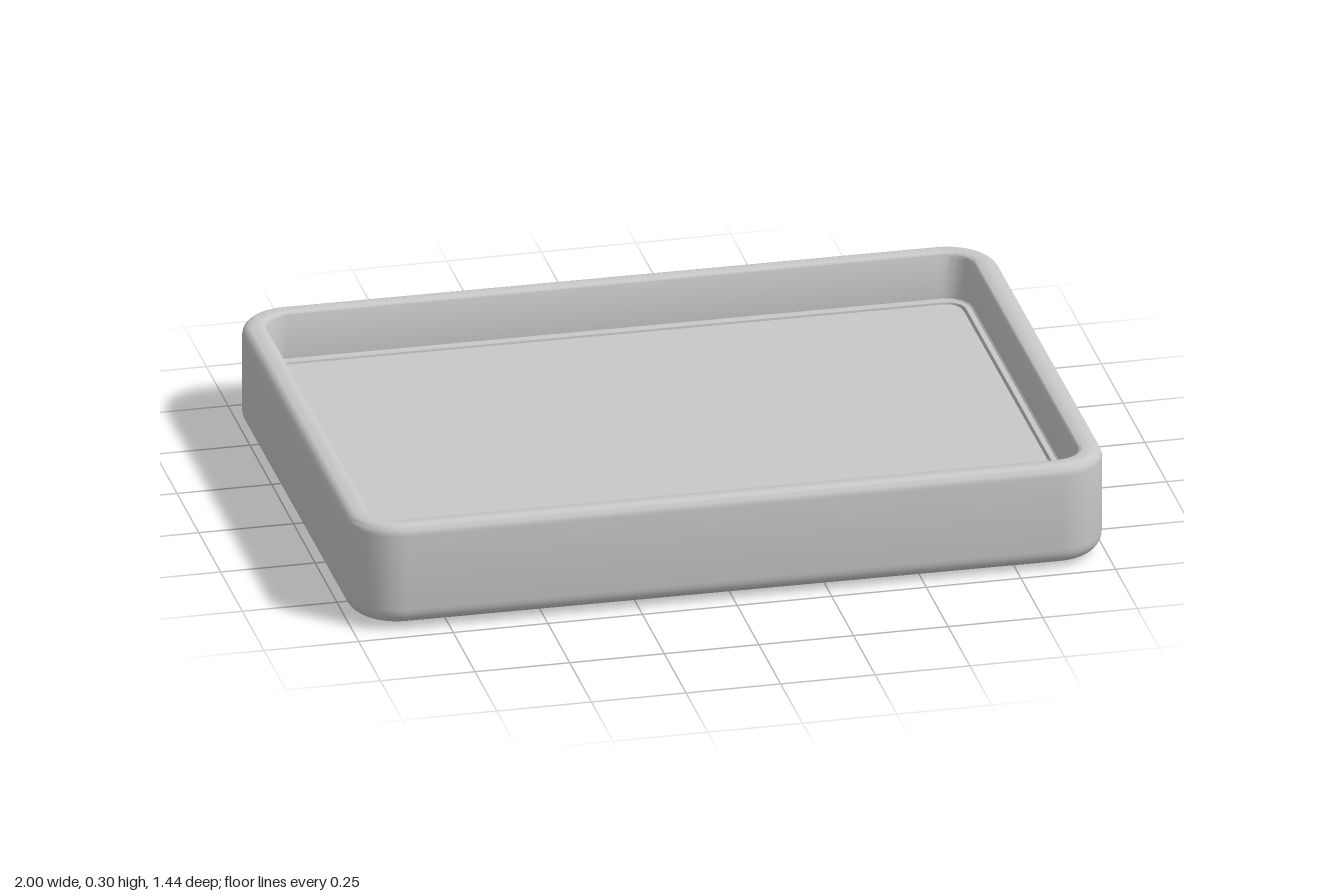
import * as THREE from 'three';
import { toCreasedNormals } from 'three/addons/utils/BufferGeometryUtils.js';

const HALF_X = 0.998, HALF_Z = 0.721, CORNER = 0.135, STEPS = 12;
const Z_INSET = 0.88; // front and back walls are slightly thinner than the sides

// Rounded rectangle, inset from the outer footprint, at height y
function ring(inset, y) {
  const r = Math.max(CORNER - inset, 0.03);
  const cx = HALF_X - inset - r, cz = HALF_Z - inset * Z_INSET - r;
  const points = [];
  [[1, 1], [-1, 1], [-1, -1], [1, -1]].forEach(([sx, sz], corner) => {
    for (let i = 0; i <= STEPS; i++) {
      const a = (corner + i / STEPS) * Math.PI / 2;
      points.push([sx * cx + r * Math.cos(a), y, sz * cz + r * Math.sin(a)]);
    }
  });
  return points;
}

// Skin a profile of [inset, y] pairs; optionally close the first or last ring
function loft(profile, closeStart, closeEnd) {
  const rings = profile.map(([inset, y]) => ring(inset, y));
  const n = rings[0].length, positions = [], index = [];
  rings.forEach((points) => points.forEach((p) => positions.push(...p)));
  for (let k = 0; k < rings.length - 1; k++) {
    for (let i = 0; i < n; i++) {
      const a = k * n + i, b = k * n + (i + 1) % n;
      index.push(a, a + n, b, b, a + n, b + n);
    }
  }
  const cap = (k, flip) => {
    const centre = positions.length / 3;
    positions.push(0, profile[k][1], 0);
    for (let i = 0; i < n; i++) {
      const a = k * n + i, b = k * n + (i + 1) % n;
      index.push(centre, flip ? a : b, flip ? b : a);
    }
  };
  if (closeStart) cap(0, true);
  if (closeEnd) cap(rings.length - 1, false);
  const geometry = new THREE.BufferGeometry();
  geometry.setAttribute('position', new THREE.Float32BufferAttribute(positions, 3));
  geometry.setIndex(index);
  return toCreasedNormals(geometry, 0.6);
}

// Quarter-round steps of a profile, around a centre [inset, y]
function arc(inset, y, r, from, to) {
  return Array.from({ length: 7 }, (_, i) => {
    const a = (from + (to - from) * i / 6) * Math.PI / 180;
    return [inset + r * Math.cos(a), y + r * Math.sin(a)];
  });
}

export function createModel() {
  const grey = new THREE.MeshStandardMaterial({ color: 0xc8c8c8 });
  grey.name = 'grey';

  const tray = new THREE.Group();
  tray.name = 'tray';
  const add = (name, geometry) => {
    const mesh = new THREE.Mesh(geometry, grey);
    mesh.name = name;
    tray.add(mesh);
  };

  // Underside, outer wall, rounded rim and inner wall down to the ledge
  add('shell', loft([
    ...arc(0.045, 0.05, 0.045, 270, 180),
    ...arc(0.028, 0.257, 0.028, 180, 90),
    ...arc(0.05, 0.27, 0.015, 90, 0),
    [0.066, 0.156], [0.07, 0.152],
    [0.084, 0.152], [0.086, 0.138], [0.09, 0.138],
  ], true, false));

  // Raised floor panel inside the groove
  add('floorPanel', loft([
    [0.09, 0.138], [0.091, 0.147], [0.094, 0.15],
  ], false, true));

  // Slight lean of the whole tray
  tray.rotation.set(-0.007, 0, -0.004);
  tray.position.y = 0.005;

  const model = new THREE.Group();
  model.name = 'model';
  model.add(tray);
  return model;
}
